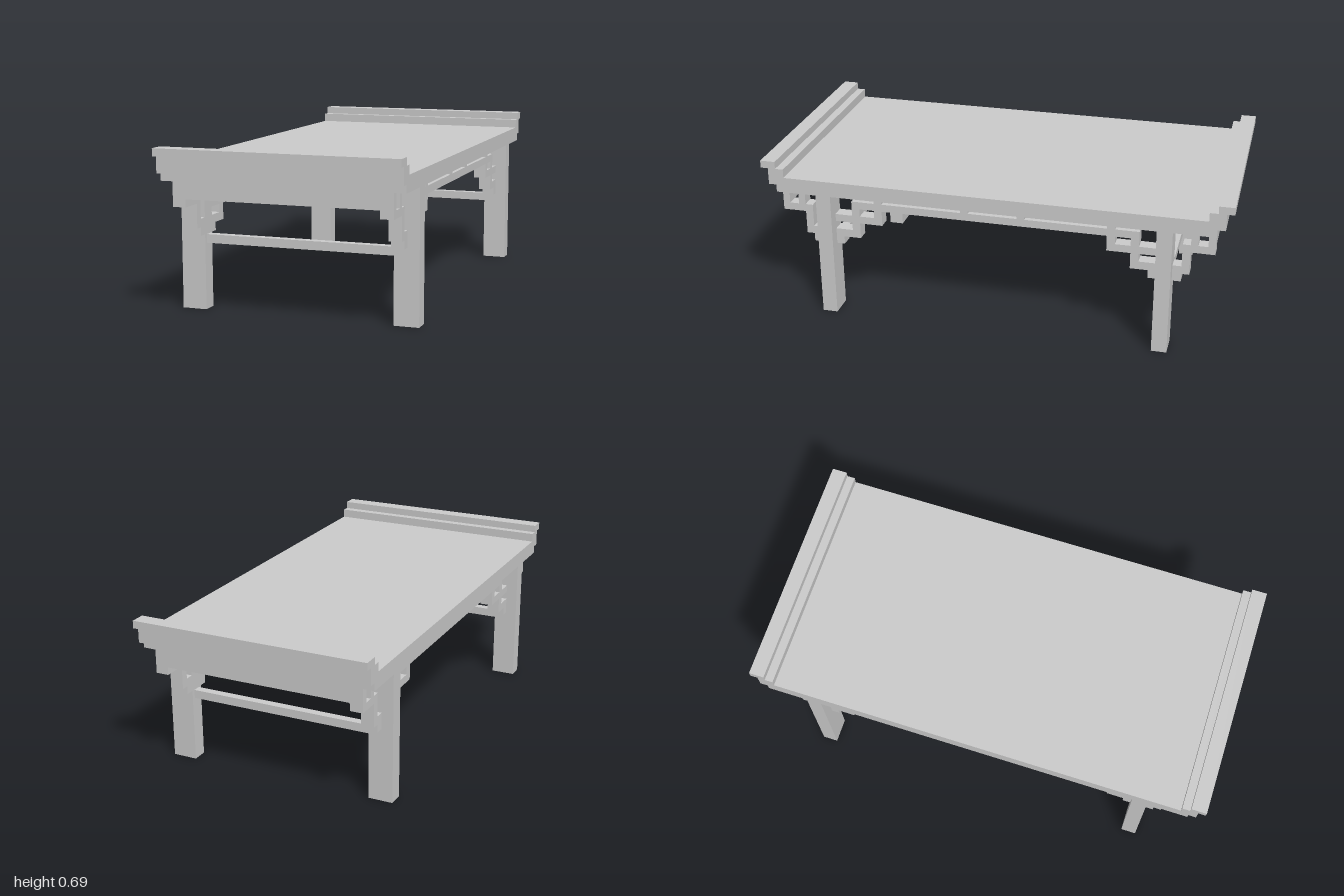
import * as THREE from 'three';

const material = new THREE.MeshStandardMaterial({ color: 0xcccccc, flatShading: true });
const HALF_WIDTH = 0.51;
const LEG_IN = 0.405; // inner face of the legs
const LATTICE_OUT = 0.46; // outer face of the fretwork

// Box given by its limits on each axis
function bar(parent, name, [x0, x1], [y0, y1], [z0, z1]) {
  const mesh = new THREE.Mesh(new THREE.BoxGeometry(x1 - x0, y1 - y0, z1 - z0), material);
  mesh.position.set((x0 + x1) / 2, (y0 + y1) / 2, (z0 + z1) / 2);
  mesh.name = name;
  parent.add(mesh);
}

// Same box limits reflected to the other side
const flip = ([a, b], s) => (s > 0 ? [a, b] : [-b, -a]);

// Table top with stepped, upturned ends
function tableTop() {
  const end = [
    [0.935, 0.555], [0.935, 0.588], [0.968, 0.588], [0.968, 0.66], [1, 0.66],
    [1, 0.692], [0.935, 0.692], [0.935, 0.66], [0.9, 0.66], [0.9, 0.622],
  ];
  const outline = [...end, ...end.map(([z, y]) => [-z, y]).reverse()];
  const shape = new THREE.Shape(outline.map(([z, y]) => new THREE.Vector2(z, y)));
  const geometry = new THREE.ExtrudeGeometry(shape, { depth: HALF_WIDTH * 2, bevelEnabled: false });
  geometry.translate(0, 0, -HALF_WIDTH).rotateY(Math.PI / 2);
  const mesh = new THREE.Mesh(geometry, material);
  mesh.name = 'tableTop';
  return mesh;
}

// Fretwork bars as [z range, y range]
const OUTER_BRACKET = [
  [[0.9, 0.93], [0.485, 0.555]],
  [[0.83, 0.86], [0.485, 0.555]],
  [[0.797, 0.93], [0.452, 0.485]],
  [[0.797, 0.83], [0.385, 0.452]],
  [[0.76, 0.83], [0.35, 0.385]],
  [[0.76, 0.797], [0.315, 0.35]],
];
const INNER_BRACKET = [
  [[0.66, 0.695], [0.315, 0.35]],
  [[0.585, 0.695], [0.35, 0.385]],
  [[0.585, 0.62], [0.385, 0.42]],
  [[0.485, 0.695], [0.42, 0.453]],
  [[0.585, 0.62], [0.453, 0.487]],
  [[0.485, 0.52], [0.453, 0.487]],
];
const SPACERS = [[0.485, 0.52], [0.105, 0.138]];

export function createModel() {
  const model = new THREE.Group();
  model.name = 'lowTable';
  model.add(tableTop());

  for (const sx of [1, -1]) {
    const latticeX = flip([LEG_IN, LATTICE_OUT], sx);

    // Long rail under each side
    bar(model, 'sideRail', latticeX, [0.487, 0.52], [-0.62, 0.62]);

    for (const sz of [1, -1]) {
      bar(model, 'leg', flip([LEG_IN, HALF_WIDTH], sx), [0, 0.555], flip([0.695, 0.76], sz));

      const brackets = { outerBracket: OUTER_BRACKET, innerBracket: INNER_BRACKET };
      for (const [name, bars] of Object.entries(brackets)) {
        const group = new THREE.Group();
        group.name = name;
        for (const [z, y] of bars) bar(group, name + 'Bar', latticeX, y, flip(z, sz));
        model.add(group);
      }
      for (const z of SPACERS) bar(model, 'railSpacer', latticeX, [0.52, 0.555], flip(z, sz));
    }
  }

  // Cross members at each end
  for (const sz of [1, -1]) {
    const span = [-LEG_IN, LEG_IN];
    bar(model, 'endApron', span, [0.485, 0.555], flip([0.9, 0.93], sz));
    bar(model, 'legBeam', span, [0.485, 0.555], flip([0.71, 0.745], sz));
    bar(model, 'stretcher', span, [0.277, 0.313], flip([0.71, 0.745], sz));
  }
  return model;
}
